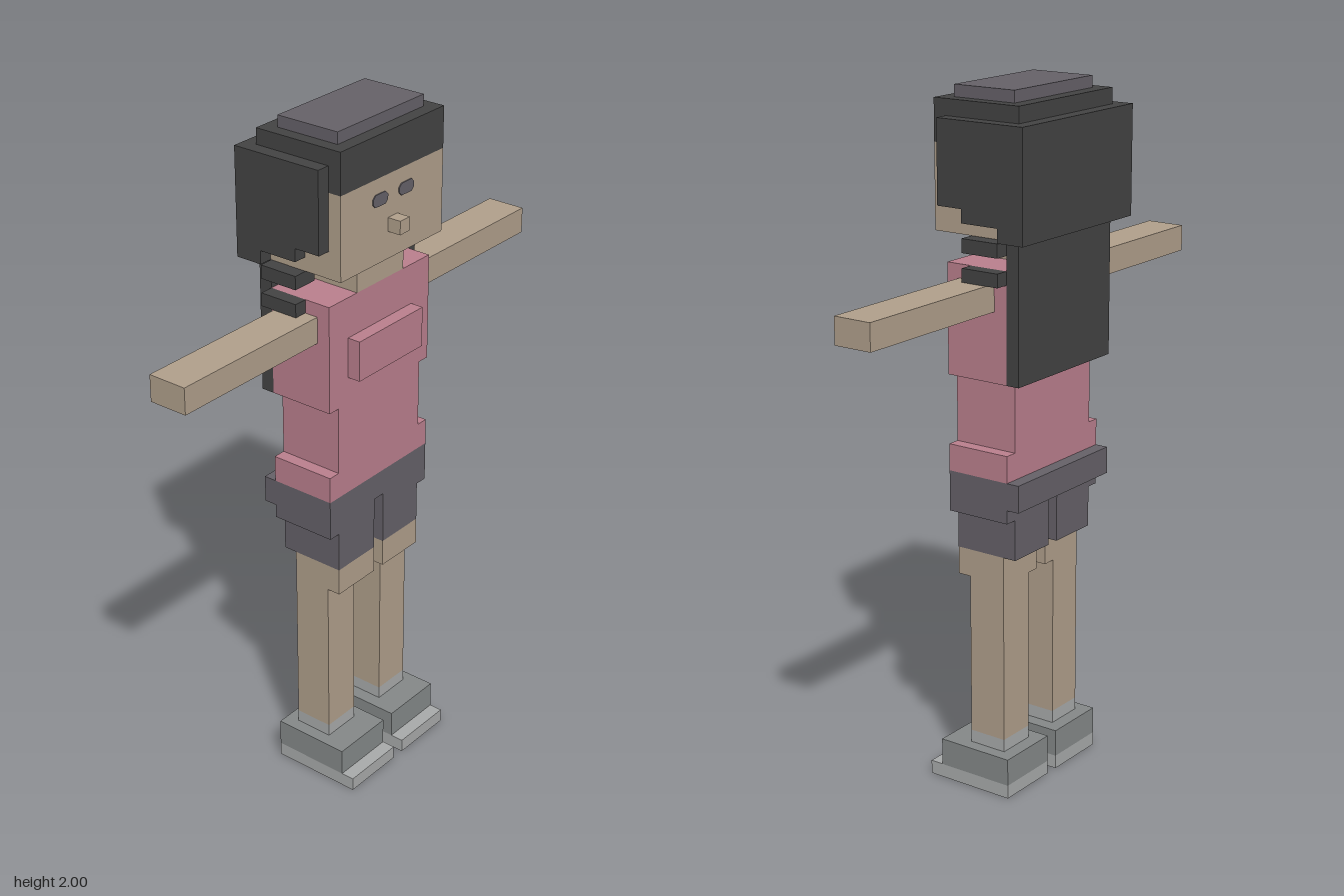
import * as THREE from 'three';

function material(name, color) {
  const m = new THREE.MeshStandardMaterial({ color });
  m.name = name;
  return m;
}

export function createModel() {
  const skin = material('skin', 0xb09f8b);
  const hair = material('hair', 0x434343);
  const shirt = material('shirt pink', 0xba7f8d);
  const cloth = material('charcoal cloth', 0x656168);
  const shoe = material('shoe grey', 0x848888);
  const sole = material('sole grey', 0xa8aaaa);

  const model = new THREE.Group();
  model.name = 'blockFigure';

  // Box given by its extents along each axis
  function block(name, mat, [x0, x1], [y0, y1], [z0, z1]) {
    const mesh = new THREE.Mesh(new THREE.BoxGeometry(x1 - x0, y1 - y0, z1 - z0), mat);
    mesh.position.set((x0 + x1) / 2, (y0 + y1) / 2, (z0 + z1) / 2);
    mesh.name = name;
    model.add(mesh);
  }
  const centred = (name, mat, w, y, z) => block(name, mat, [-w, w], y, z);
  const pair = (name, mat, [a, b], y, z) => {
    block(name + 'Left', mat, [a, b], y, z);
    block(name + 'Right', mat, [-b, -a], y, z);
  };

  // Feet and legs
  pair('sole', sole, [0.02, 0.215], [0, 0.04], [-0.097, 0.178]);
  pair('shoe', shoe, [0.02, 0.215], [0.04, 0.12], [-0.097, 0.138]);
  pair('sock', sole, [0.06, 0.178], [0.12, 0.157], [-0.057, 0.059]);
  pair('leg', skin, [0.06, 0.178], [0.157, 0.63], [-0.057, 0.059]);
  pair('knee', skin, [0.02, 0.178], [0.63, 0.71], [-0.057, 0.099]);

  // Shorts
  pair('shortsLeg', cloth, [0.02, 0.178], [0.71, 0.828], [-0.097, 0.099]);
  pair('shortsHip', cloth, [0.02, 0.215], [0.828, 0.867], [-0.097, 0.099]);
  centred('shortsTop', cloth, 0.215, [0.867, 0.945], [-0.097, 0.099]);
  centred('shortsBack', cloth, 0.215, [0.867, 0.945], [-0.135, -0.097]);

  // Shirt
  centred('shirtHem', shirt, 0.215, [0.945, 1.022], [-0.097, 0.099]);
  centred('shirtWaist', shirt, 0.178, [1.022, 1.22], [-0.097, 0.099]);
  centred('shirtChest', shirt, 0.215, [1.22, 1.532], [-0.097, 0.099]);
  centred('chestPanel', shirt, 0.137, [1.298, 1.415], [0.099, 0.138]);

  // Arms, neck and head
  pair('arm', skin, [0.215, 0.723], [1.417, 1.493], [-0.057, 0.059]);
  centred('neck', skin, 0.099, [1.532, 1.613], [-0.057, 0.099]);
  centred('head', skin, 0.215, [1.613, 1.85], [-0.097, 0.138]);
  centred('nose', skin, 0.02, [1.69, 1.729], [0.138, 0.178]);

  // Eyes: thin plates with clipped corners
  for (const side of [-1, 1]) {
    const w = 0.031, h = 0.017, c = 0.01;
    const outline = new THREE.Shape([
      [-w + c, -h], [w - c, -h], [w, -h + c], [w, h - c],
      [w - c, h], [-w + c, h], [-w, h - c], [-w, -h + c],
    ].map(([x, y]) => new THREE.Vector2(x, y)));
    const eye = new THREE.Mesh(
      new THREE.ExtrudeGeometry(outline, { depth: 0.004, bevelEnabled: false }), cloth);
    eye.position.set(side * 0.055, 1.791, 0.137);
    eye.name = side > 0 ? 'eyeLeft' : 'eyeRight';
    model.add(eye);
  }

  // Hair around the head
  centred('hairCrown', hair, 0.215, [1.85, 1.967], [-0.138, 0.138]);
  centred('hairTop', cloth, 0.178, [1.967, 2], [-0.097, 0.099]);
  centred('hairNape', hair, 0.215, [1.69, 1.85], [-0.138, -0.097]);
  centred('hairBack', hair, 0.255, [1.613, 1.922], [-0.178, -0.138]);
  centred('hairDrape', hair, 0.215, [1.22, 1.69], [-0.136, -0.097]);

  // Side hair with a stepped lower edge, and loose strands below
  pair('hairSideFront', hair, [0.215, 0.255], [1.69, 1.922], [0.02, 0.099]);
  pair('hairSideMiddle', hair, [0.215, 0.255], [1.652, 1.922], [-0.097, 0.02]);
  pair('hairSideBack', hair, [0.215, 0.255], [1.613, 1.922], [-0.138, -0.097]);
  pair('hairStrandUpper', hair, [0.178, 0.255], [1.573, 1.612], [-0.097, 0.02]);
  pair('hairStrandLower', hair, [0.215, 0.255], [1.494, 1.532], [-0.097, 0.02]);

  return model;
}
